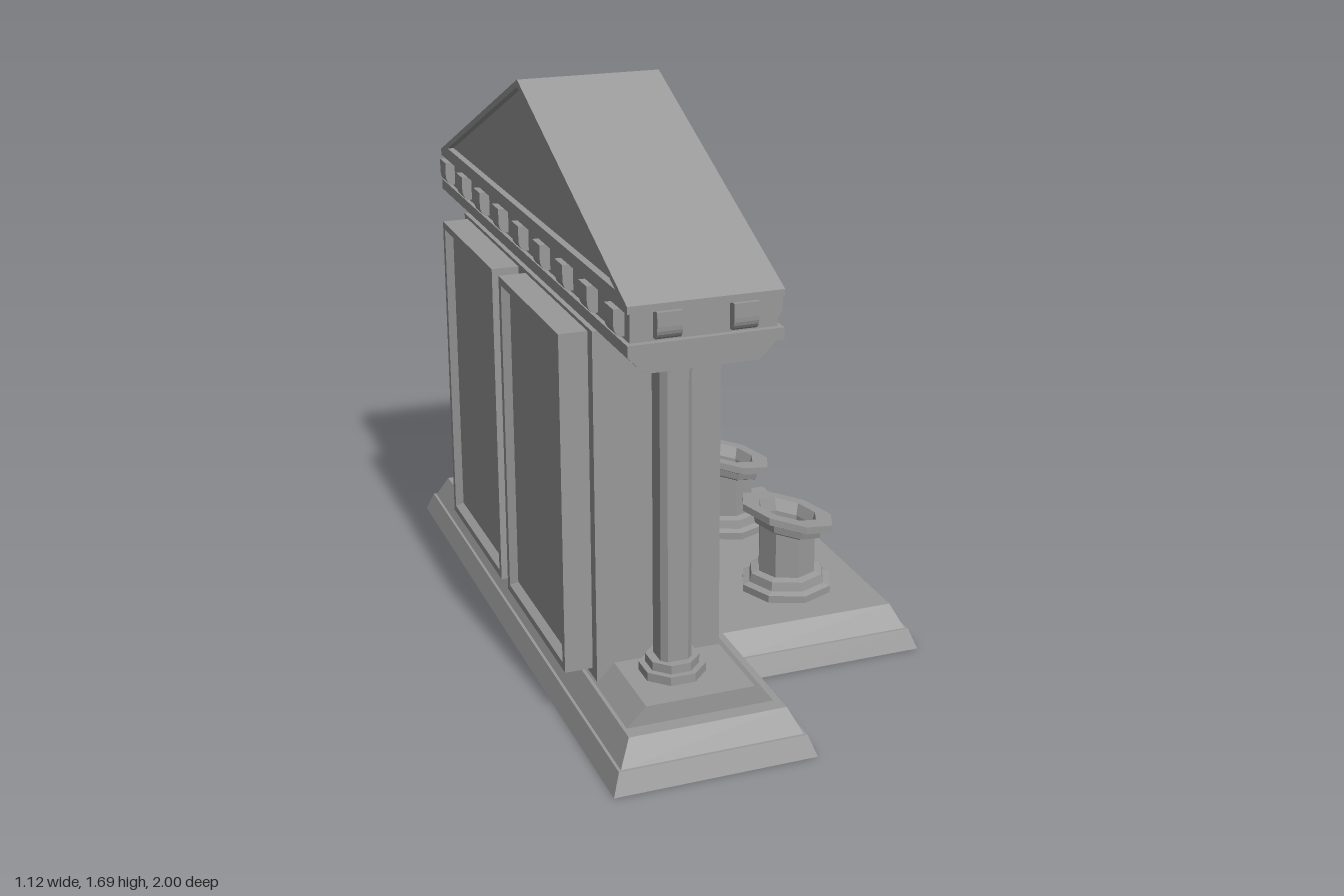
import * as THREE from 'three';

const stone = new THREE.MeshStandardMaterial({ color: 0x999999 });
stone.name = 'stone';

// Mesh with one flat normal per face
function part(parent, name, geometry) {
  const g = geometry.index ? geometry.toNonIndexed() : geometry;
  g.computeVertexNormals();
  const mesh = new THREE.Mesh(g, stone);
  mesh.name = name;
  parent.add(mesh);
  return mesh;
}

// Joins stacked [y, outline] loops, outlines being [x, z] and counterclockwise from above, and caps both ends
function loft(loops) {
  const n = loops[0][1].length;
  const pos = [], idx = [];
  for (const [y, pts] of loops) for (const [x, z] of pts) pos.push(x, y, z);
  for (let k = 0; k < loops.length - 1; k++) {
    for (let i = 0; i < n; i++) {
      const a = k * n + i, b = k * n + (i + 1) % n;
      idx.push(a, b, b + n, a, b + n, a + n);
    }
  }
  const cap = pts => THREE.ShapeUtils.triangulateShape(pts.map(([x, z]) => new THREE.Vector2(x, -z)), []);
  const top = (loops.length - 1) * n;
  for (const [a, b, c] of cap(loops[0][1])) idx.push(a, c, b);
  for (const [a, b, c] of cap(loops[loops.length - 1][1])) idx.push(top + a, top + b, top + c);
  const g = new THREE.BufferGeometry();
  g.setAttribute('position', new THREE.Float32BufferAttribute(pos, 3));
  g.setIndex(idx);
  return g;
}

const rect = (x0, x1, z) => [[x0, z], [x1, z], [x1, -z], [x0, -z]];
const block = (x0, x1, y0, y1, z) => loft([[y0, rect(x0, x1, z)], [y1, rect(x0, x1, z)]]);
const polygon = pts => new THREE.Shape(pts.map(p => new THREE.Vector2(...p)));

// T-shaped outline of the stepped base, inset by d
function baseOutline(d) {
  const l = -0.56 + d, m = 0.02 - d, r = 0.557 - d, w = 0.543 - d, e = 1 - d;
  return [[l, e], [m, e], [m, w], [r, w], [r, -w], [m, -w], [m, -e], [l, -e]];
}

// Square of half-width r with cut corners
function cutSquare(r, k) {
  const c = r * k;
  return [[-c, r], [c, r], [r, c], [r, -c], [c, -r], [-c, -r], [-r, -c], [-r, c]];
}

function createColumn() {
  const column = new THREE.Group();
  column.name = 'column';
  const disc = (name, y0, y1, r) =>
    part(column, name, loft([[y0, cutSquare(r, 0.414)], [y1, cutSquare(r, 0.414)]]));
  disc('columnFoot', 0.185, 0.21, 0.085);
  disc('columnFootRing', 0.21, 0.235, 0.068);
  part(column, 'columnShaft', loft([[0.235, cutSquare(0.045, 0.65)], [1.075, cutSquare(0.045, 0.65)]]));
  disc('capitalRing', 1.072, 1.092, 0.062);
  disc('capital', 1.092, 1.115, 0.085);
  return column;
}

// Eight-sided basin whose upper half is sheared into a tilted rim
function createBasin() {
  const profile = [
    [0, 0.13], [0.142, 0.13], [0.142, 0.152], [0.12, 0.158], [0.115, 0.185], [0.09, 0.19],
    [0.09, 0.315], [0.105, 0.322], [0.11, 0.345], [0.145, 0.356], [0.145, 0.378],
    [0.092, 0.378], [0.08, 0.34], [0.08, 0.2], [0, 0.2]
  ];
  const g = new THREE.LatheGeometry(profile.map(p => new THREE.Vector2(...p)), 8);
  const p = g.attributes.position;
  for (let i = 0; i < p.count; i++) {
    if (p.getY(i) > 0.3) p.setY(i, p.getY(i) - 0.27 * p.getX(i));
  }
  return g;
}

// Rounded bracket that sticks out towards +x
function createBracket() {
  const s = new THREE.Shape();
  s.moveTo(0, 1.205);
  s.lineTo(0.02, 1.205);
  s.quadraticCurveTo(0.036, 1.215, 0.036, 1.24);
  s.lineTo(0.036, 1.278);
  s.lineTo(0, 1.278);
  return new THREE.ExtrudeGeometry(s, { depth: 0.068, bevelEnabled: false, curveSegments: 4 })
    .translate(0, 0, -0.034);
}

export function createModel() {
  const model = new THREE.Group();
  model.name = 'temple';

  // Stepped base and sloped plinth
  part(model, 'base', loft([
    [0, baseOutline(0)], [0.06, baseOutline(0.022)], [0.06, baseOutline(0.03)], [0.13, baseOutline(0.065)]
  ]));
  part(model, 'plinth', loft([[0.13, rect(-0.485, -0.065, 0.89)], [0.185, rect(-0.43, -0.12, 0.89)]]));

  // Wall
  part(model, 'wall', block(-0.48, -0.12, 0.13, 1.15, 0.632));

  // Back panels with a recessed field
  for (const side of [-1, 1]) {
    const frame = d => rect(0.16 + d, 1.14 - d, 0.28 - d);
    const g = loft([[0, frame(0)], [0.09, frame(0)], [0.09, frame(0.022)], [0.068, frame(0.036)]]);
    g.rotateZ(Math.PI / 2).translate(-0.47, 0, side * 0.315);
    part(model, 'backPanel', g);
  }

  // Columns and basins
  for (const side of [-1, 1]) {
    const column = createColumn();
    column.position.set(-0.295, 0, side * 0.726);
    model.add(column);
    part(model, 'basin', createBasin()).position.set(0.258, 0, side * 0.244);
  }

  // Beam, ledge and frieze
  part(model, 'beam', loft([[1.113, rect(-0.43, -0.12, 0.89)], [1.165, rect(-0.478, -0.068, 0.89)]]));
  part(model, 'ledge', block(-0.48, -0.06, 1.165, 1.197, 0.907));
  part(model, 'frieze', block(-0.468, -0.072, 1.197, 1.28, 0.89));

  // Brackets on all four sides
  const bracket = createBracket();
  const addBracket = (x, z, turn) => {
    const mesh = part(model, 'bracket', bracket);
    mesh.position.set(x, 0, z);
    mesh.rotation.y = turn;
  };
  for (let i = -4; i <= 4; i++) {
    addBracket(-0.078, i * 0.205, 0);
    addBracket(-0.462, i * 0.205, Math.PI);
  }
  for (const x of [-0.372, -0.168]) {
    addBracket(x, 0.883, -Math.PI / 2);
    addBracket(x, -0.883, Math.PI / 2);
  }

  // Roof with sunken gables
  const gable = [[-0.82, 1.317], [0.82, 1.317], [0, 1.67]];
  const roof = polygon([[-0.907, 1.278], [0.907, 1.278], [0.907, 1.298], [0, 1.69], [-0.907, 1.298]]);
  roof.holes.push(polygon(gable));
  const prism = (shape, x0, x1) =>
    new THREE.ExtrudeGeometry(shape, { depth: x1 - x0, bevelEnabled: false })
      .rotateY(Math.PI / 2).translate(x0, 0, 0);
  part(model, 'roof', prism(roof, -0.48, -0.06));
  part(model, 'gable', prism(polygon(gable), -0.46, -0.08));

  return model;
}
